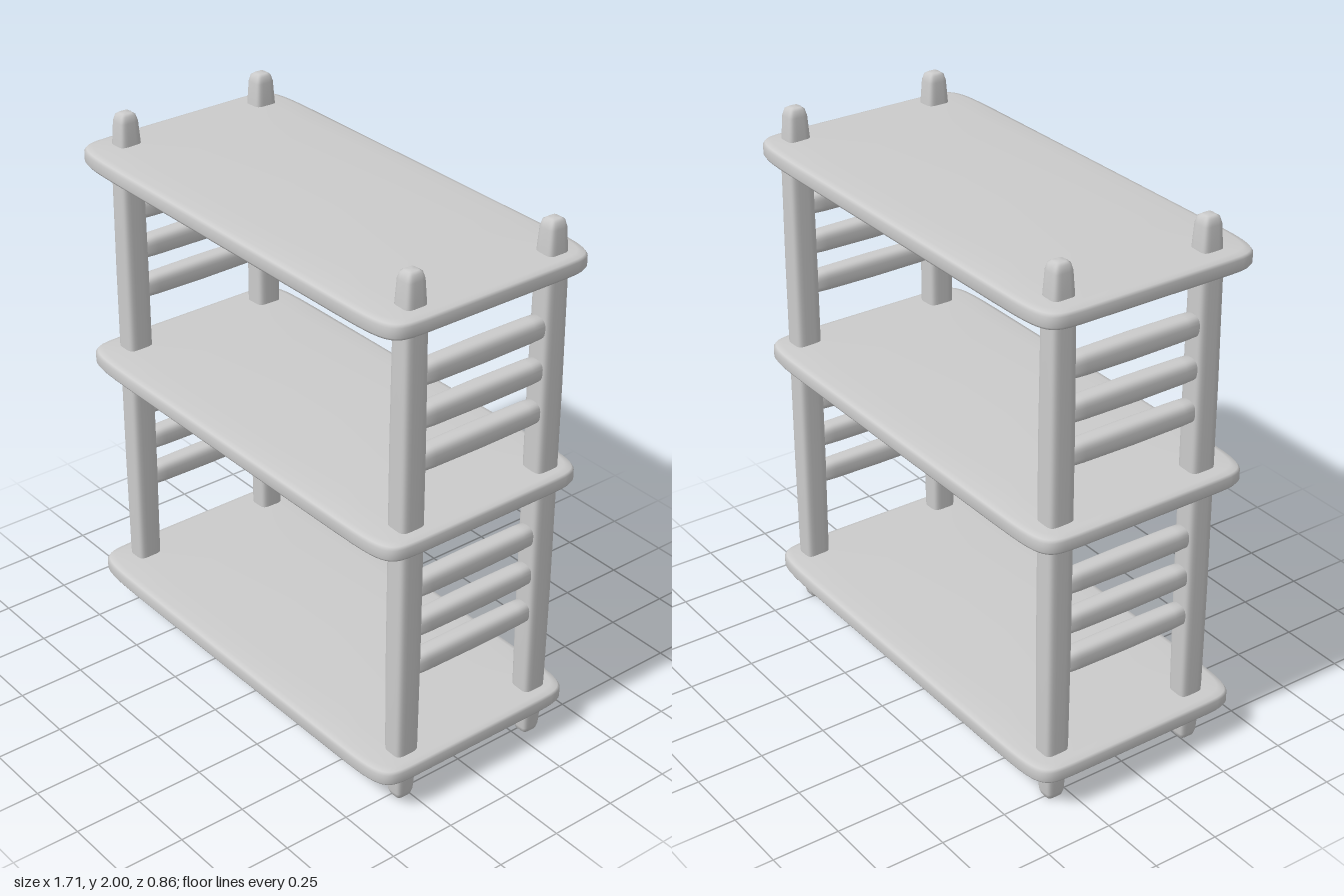
import * as THREE from 'three';

const material = new THREE.MeshStandardMaterial({ color: 0xcccccc });

// Closed soft-edged solid: superellipse rings stacked along y.
// Each ring is [y, half width in x, half width in z]; n sets how square it is.
function loft(rings, n, segments) {
  const positions = [];
  const index = [];
  const power = (v) => Math.sign(v) * Math.pow(Math.abs(v), 2 / n);
  for (const [y, a, b] of rings) {
    for (let i = 0; i < segments; i++) {
      const t = ((i + 0.5) / segments) * Math.PI * 2;
      positions.push(a * power(Math.cos(t)), y, b * power(Math.sin(t)));
    }
  }
  const last = rings.length - 1;
  const bottom = rings.length * segments;
  positions.push(0, rings[0][0], 0, 0, rings[last][0], 0);
  for (let i = 0; i < segments; i++) {
    const j = (i + 1) % segments;
    for (let r = 0; r < last; r++) {
      const p = r * segments, q = p + segments;
      index.push(p + i, q + i, p + j, p + j, q + i, q + j);
    }
    index.push(bottom, i, j);
    index.push(bottom + 1, last * segments + j, last * segments + i);
  }
  const geometry = new THREE.BufferGeometry();
  geometry.setAttribute('position', new THREE.Float32BufferAttribute(positions, 3));
  geometry.setIndex(index);
  geometry.computeVertexNormals();
  return geometry;
}

export function createModel() {
  const group = new THREE.Group();
  const add = (name, geometry, x, y, z) => {
    const mesh = new THREE.Mesh(geometry, material);
    mesh.name = name;
    mesh.position.set(x, y, z);
    group.add(mesh);
  };

  // Shelves: thin boards, slightly domed, with rounded rims
  const half = [[0.017, 0], [0.027, 0.006], [0.033, 0.025], [0.037, 0.11], [0.041, 0.3]];
  const rim = [...half.map(([y, inset]) => [-y, inset]).reverse(), ...half];
  const shelf = loft(rim.map(([y, inset]) => [y, 0.857 - inset, 0.428 - inset]), 14, 48);
  ['bottomShelf', 'middleShelf', 'topShelf'].forEach((name, i) => {
    add(name, shelf, 0, [0.16, 1.06, 1.85][i], 0);
  });

  // Corner posts: rounded square, tapering at the feet and finials
  const post = loft([
    [0, 0.018, 0.02], [0.006, 0.028, 0.03], [0.025, 0.033, 0.036], [0.11, 0.038, 0.042],
    [0.22, 0.041, 0.048], [0.6, 0.044, 0.05], [1.4, 0.044, 0.05], [1.78, 0.041, 0.048],
    [1.89, 0.038, 0.043], [1.97, 0.034, 0.037], [1.993, 0.028, 0.03], [2, 0.018, 0.02],
  ], 4.5, 28);
  const sides = [['right', -0.752], ['left', 0.765]];
  for (const [side, x] of sides) {
    add(side + 'FrontPost', post, x, 0, 0.275);
    add(side + 'BackPost', post, x, 0, -0.305);
  }

  // Side rungs: three above and three below the middle shelf
  const rung = loft([
    [-0.27, 0.033, 0.038], [-0.2, 0.036, 0.041], [0, 0.037, 0.043],
    [0.2, 0.036, 0.041], [0.27, 0.033, 0.038],
  ], 3, 24).rotateX(Math.PI / 2);
  for (const [side, x] of sides) {
    for (const y of [0.53, 0.685, 0.84, 1.32, 1.475, 1.63]) {
      add(side + 'Rung', rung, x, y, -0.015);
    }
  }
  return group;
}
